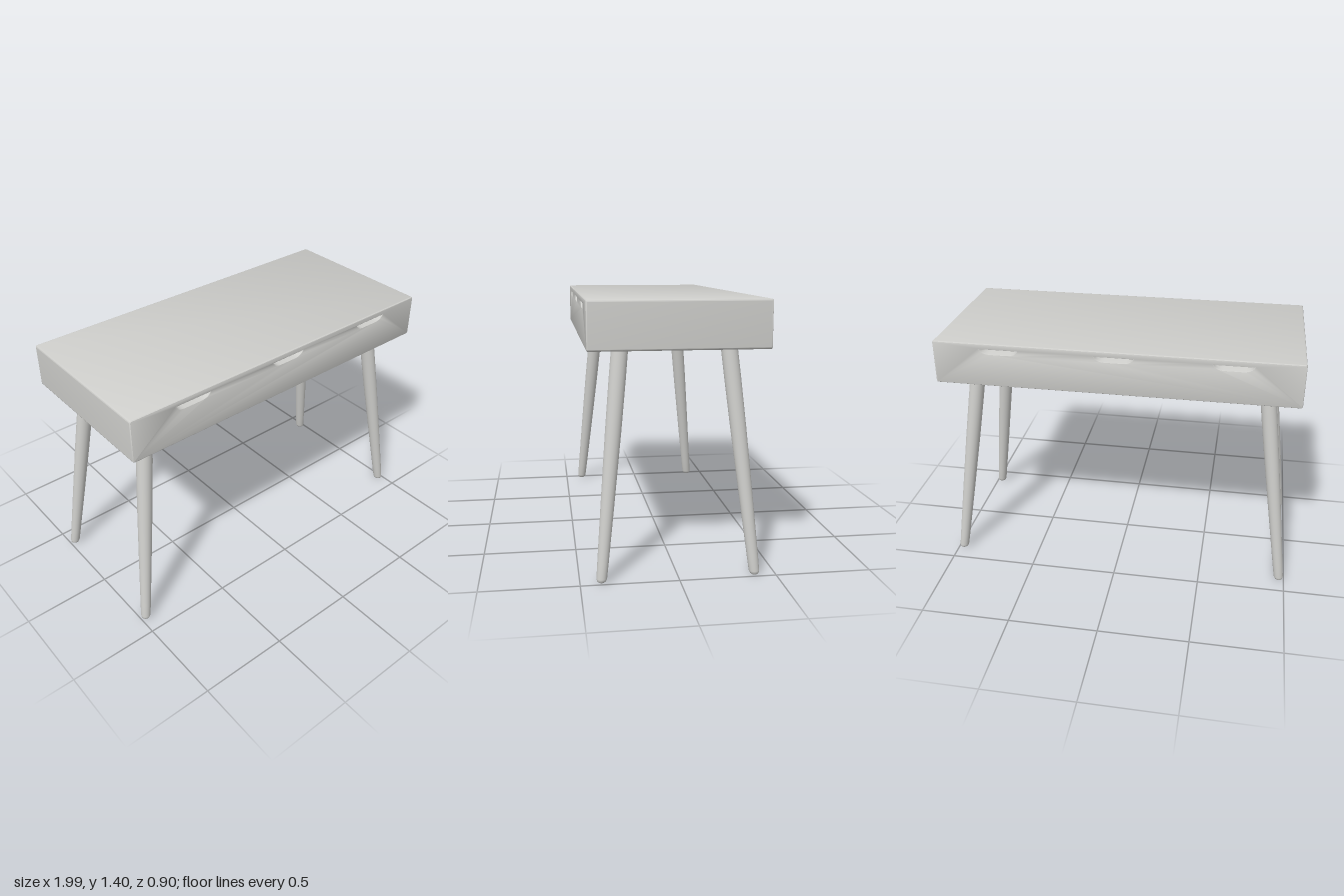
import * as THREE from 'three';
import { toCreasedNormals } from 'three/addons/utils/BufferGeometryUtils.js';

const BOTTOM = 1.16, TOP = 1.403, HALF_W = 0.99, HALF_D = 0.452, EDGE = 0.009;

// Rounded rectangle outline of the body, seen from the front
function bodyOutline() {
  const s = new THREE.Shape(), r = 0.01;
  s.absarc(HALF_W - r, BOTTOM + r, r, -Math.PI / 2, 0);
  s.absarc(HALF_W - r, TOP - r, r, 0, Math.PI / 2);
  s.absarc(-HALF_W + r, TOP - r, r, Math.PI / 2, Math.PI);
  s.absarc(-HALF_W + r, BOTTOM + r, r, Math.PI, Math.PI * 1.5);
  s.closePath();
  return s;
}

// Finger slot: flat top, sides curving in to a flat bottom
function slot(x) {
  const p = new THREE.Path(), top = 1.371, low = 1.346;
  p.moveTo(x - 0.102, top);
  p.quadraticCurveTo(x - 0.09, low + 0.002, x - 0.05, low);
  p.lineTo(x + 0.05, low);
  p.quadraticCurveTo(x + 0.09, low + 0.002, x + 0.102, top);
  p.closePath();
  return p;
}

export function createModel() {
  const model = new THREE.Group();
  model.name = 'desk';
  const paint = new THREE.MeshStandardMaterial({ color: 0xcdcdca });
  paint.name = 'light grey';

  // Body with three slots running from front to back
  const shape = bodyOutline();
  for (const x of [-0.625, 0, 0.625]) shape.holes.push(slot(x));
  const depth = 2 * (HALF_D - EDGE);
  const bodyGeometry = new THREE.ExtrudeGeometry(shape, {
    depth, curveSegments: 6, bevelEnabled: true, bevelSegments: 3,
    bevelThickness: EDGE, bevelSize: 0.006, bevelOffset: -0.006,
  });
  bodyGeometry.translate(0, 0, -depth / 2);
  const body = new THREE.Mesh(toCreasedNormals(bodyGeometry, 0.6), paint);
  body.name = 'drawerBody';
  model.add(body);

  // Tapered legs with rounded feet, splayed outwards by a shear
  const profile = [
    [0, 0], [0.014, 0.002], [0.023, 0.009], [0.027, 0.022], [0.029, 0.1],
    [0.035, 0.4], [0.041, 0.75], [0.043, 1], [0.043, BOTTOM + 0.012],
  ].map(([r, y]) => new THREE.Vector2(r, y));
  const splayX = (0.971 - 0.811) / BOTTOM, splayZ = (0.393 - 0.277) / BOTTOM;
  for (const [sx, sideName] of [[1, 'Left'], [-1, 'Right']]) {
    for (const [sz, endName] of [[1, 'front'], [-1, 'back']]) {
      const geometry = new THREE.LatheGeometry(profile, 28);
      geometry.applyMatrix4(new THREE.Matrix4().set(
        1, -sx * splayX, 0, sx * 0.971,
        0, 1, 0, 0,
        0, -sz * splayZ, 1, sz * 0.393,
        0, 0, 0, 1));
      const leg = new THREE.Mesh(geometry, paint);
      leg.name = endName + sideName + 'Leg';
      model.add(leg);
    }
  }
  return model;
}
